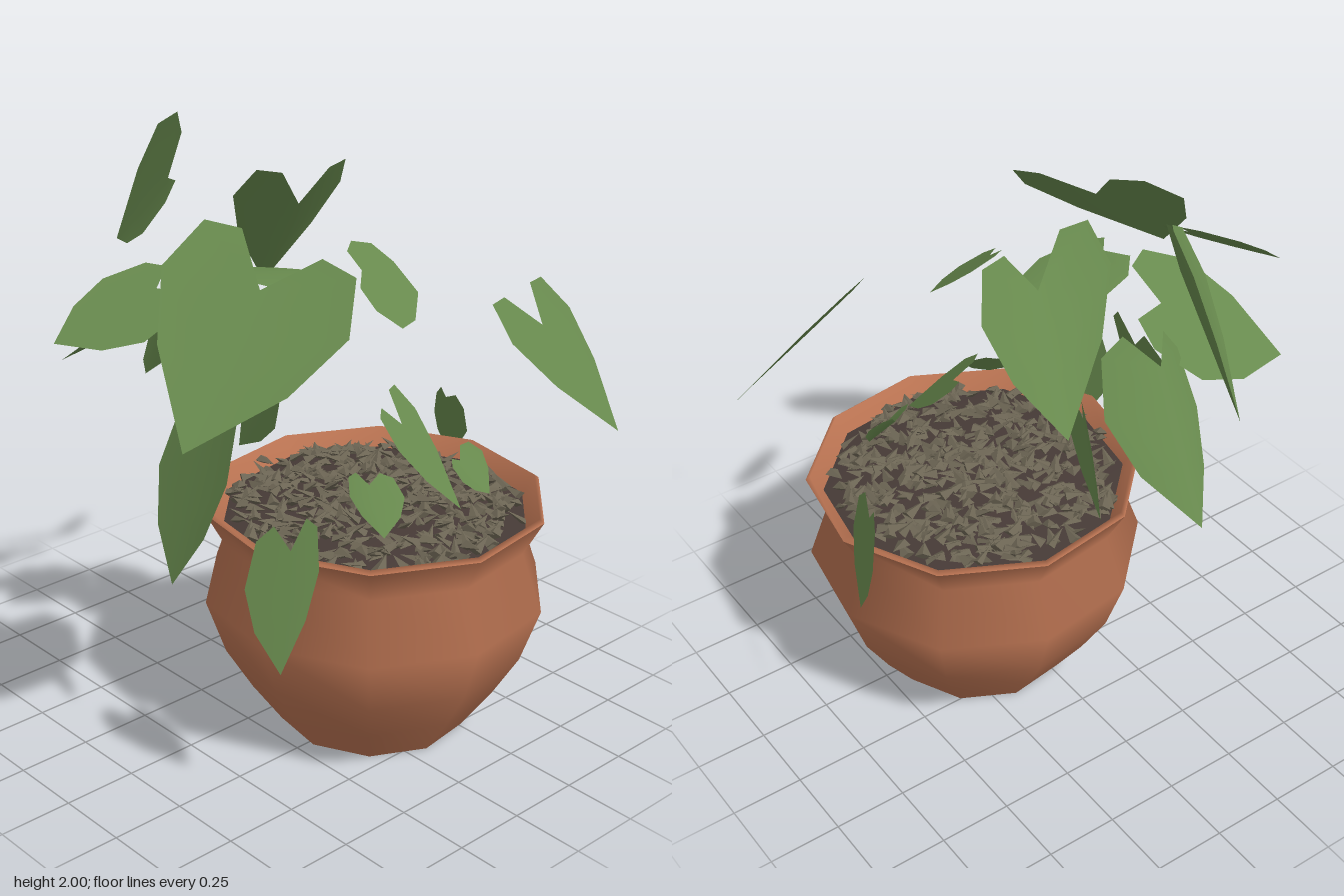
import * as THREE from 'three';
import { mergeGeometries } from 'three/addons/utils/BufferGeometryUtils.js';

const CX = 0.12, CZ = 0.225; // pot axis

// Heart-shaped leaf: half outline as [along midrib, across], plus midrib stations
const HALF = [[-0.22, 0.45], [-0.12, 0.85], [0.25, 1.04], [0.62, 0.72]];
const RIB = [0, 0.25, 0.6, 1];

// notch, tip, and the widest point on each side
function leafGeometry(notch, tip, left, right) {
  const N = new THREE.Vector3(...notch);
  const axis = new THREE.Vector3(...tip).sub(N);
  const mid = N.clone().addScaledVector(axis, 0.1);
  const pos = [], idx = [];
  RIB.forEach((s) => pos.push(...N.clone().addScaledVector(axis, s).toArray()));
  [left, right].forEach((side, k) => {
    const across = new THREE.Vector3(...side).sub(mid);
    HALF.forEach(([s, w]) => pos.push(
      ...N.clone().addScaledVector(axis, s).addScaledVector(across, w).toArray()));
    const o = 4 + 4 * k;
    const tris = [[0, o, o + 1], [0, o + 1, 1], [1, o + 1, o + 2],
      [1, o + 2, 2], [2, o + 2, o + 3], [2, o + 3, 3]];
    tris.forEach(([a, b, c]) => idx.push(...(k ? [a, c, b] : [a, b, c])));
  });
  const g = new THREE.BufferGeometry();
  g.setAttribute('position', new THREE.Float32BufferAttribute(pos, 3));
  g.setIndex(idx);
  g.computeVertexNormals();
  return g;
}

function seeded(seed) {
  let s = seed;
  return () => (s = (s * 16807) % 2147483647) / 2147483647;
}

export function createModel() {
  const model = new THREE.Group();
  const terracotta = new THREE.MeshStandardMaterial({ name: 'terracotta', color: 0xb87251 });
  const leafGreen = new THREE.MeshStandardMaterial({ name: 'leafGreen', color: 0x688a4e, side: THREE.DoubleSide });
  const soilBrown = new THREE.MeshStandardMaterial({ name: 'soilBrown', color: 0x463a36 });
  const chipBrown = new THREE.MeshStandardMaterial({ name: 'chipBrown', color: 0x6b6453 });

  const add = (name, geometry, material, parent = model) => {
    const mesh = new THREE.Mesh(geometry, material);
    mesh.name = name;
    parent.add(mesh);
    return mesh;
  };
  const lathe = (name, material, pts) => {
    const m = add(name, new THREE.LatheGeometry(
      pts.map(([x, y]) => new THREE.Vector2(x, y)), 10), material);
    m.position.set(CX, 0, CZ);
    m.rotation.y = -0.17;
  };

  // Pot: faceted outer wall, flat base and inner lip
  lathe('potWall', terracotta, [[0.32, 0], [0.42, 0.14], [0.51, 0.29], [0.575, 0.48], [0.505, 0.68], [0.57, 0.8]]);
  lathe('potBase', terracotta, [[0, 0], [0.32, 0]]);
  lathe('potLip', terracotta, [[0.57, 0.8], [0.555, 0.812], [0.5, 0.73]]);

  // Gently domed soil with scattered bark chips
  lathe('soil', soilBrown, [[0.515, 0.75], [0.3, 0.78], [0, 0.785]]);
  const rnd = seeded(71);
  const chips = [];
  for (let i = 0; i < 560; i++) {
    const g = new THREE.ConeGeometry(0.017 + 0.012 * rnd(), 0.05 + 0.03 * rnd(), 4).toNonIndexed();
    g.computeVertexNormals();
    g.scale(1, 1, 0.6);
    g.rotateX(Math.PI / 2 - 0.7 * rnd());
    g.rotateY(rnd() * Math.PI * 2);
    const r = 0.475 * Math.sqrt(rnd()), a = rnd() * Math.PI * 2;
    g.translate(CX + r * Math.cos(a), 0.79 - 0.1 * r * r + 0.022 * rnd(), CZ + r * Math.sin(a));
    chips.push(g);
  }
  add('barkChips', mergeGeometries(chips), chipBrown);

  // Leaves
  const leaves = new THREE.Group();
  leaves.name = 'leaves';
  model.add(leaves);
  const leaf = (name, ...points) => add(name, leafGeometry(...points), leafGreen, leaves);

  leaf('frontLeftLeaf', [0.58, 1.36, 0.51], [0.7, 1.03, 0.75], [0.32, 1.43, 0.57], [0.83, 1.37, 0.36]);
  leaf('upperBackLeaf', [0.12, 1.71, -0.15], [0.21, 1.36, -0.43], [-0.1, 1.81, -0.18], [0.35, 1.77, -0.18]);
  leaf('topLeaf', [-0.2, 1.8, -0.42], [-0.14, 1.5, -0.79], [-0.38, 1.72, -0.28], [-0.1, 1.96, -0.55]);
  leaf('backDroopingLeaf', [-0.16, 1.46, -0.4], [-0.12, 1.03, -0.68], [-0.28, 1.35, -0.4], [0.03, 1.4, -0.35]);
  leaf('backRightLeaf', [-0.3, 1.54, -0.22], [-0.66, 1.3, -0.4], [-0.44, 1.6, -0.08], [-0.26, 1.4, -0.39]);
  leaf('farRightLeaf', [-0.56, 1.61, -0.03], [-0.85, 1.47, -0.16], [-0.6, 1.64, -0.16], [-0.64, 1.52, 0.08]);
  leaf('broadRightLeaf', [-0.42, 1.65, 0.28], [-0.81, 1.28, 0.39], [-0.52, 1.75, 0.02], [-0.3, 1.62, 0.56]);
  leaf('centerLeaf', [-0.27, 1.61, 0.04], [0.07, 1.54, 0.05], [-0.18, 1.57, -0.12], [-0.18, 1.57, 0.18]);
  leaf('centerFrontLeaf', [0.03, 1.6, 0.24], [0.22, 1.5, 0.3], [0.13, 1.65, 0.14], [0.0, 1.48, 0.41]);
  leaf('innerLeaf', [-0.14, 1.37, 0.1], [0.06, 1.36, 0.05], [-0.08, 1.39, 0.0], [-0.1, 1.34, 0.18]);
  leaf('rightHangingLeaf', [-0.43, 1.17, 0.06], [-0.59, 0.65, 0.04], [-0.47, 1.1, 0.2], [-0.47, 1.06, -0.12]);
  leaf('frontRightHangingLeaf', [-0.5, 0.91, 0.5], [-0.56, 0.52, 0.52], [-0.6, 0.85, 0.42], [-0.43, 0.9, 0.55]);
  leaf('leftRimLeaf', [0.64, 0.95, 0.04], [0.75, 0.7, -0.06], [0.63, 0.89, 0.15], [0.69, 0.88, -0.06]);
  leaf('backRimLeaf', [-0.08, 1.12, -0.12], [-0.02, 0.85, -0.3], [-0.1, 1.06, -0.01], [-0.03, 1.13, -0.22]);
  leaf('frontSprout', [0.12, 1.09, 0.34], [0.16, 0.86, 0.57], [0.0, 1.1, 0.41], [0.24, 1.12, 0.24]);
  leaf('leftSprout', [0.3, 0.94, 0.43], [0.36, 0.83, 0.51], [0.22, 0.93, 0.5], [0.39, 0.96, 0.42]);
  leaf('rightSprout', [-0.14, 1.0, 0.46], [-0.18, 0.87, 0.57], [-0.19, 0.99, 0.42], [-0.06, 0.98, 0.52]);

  return model;
}
